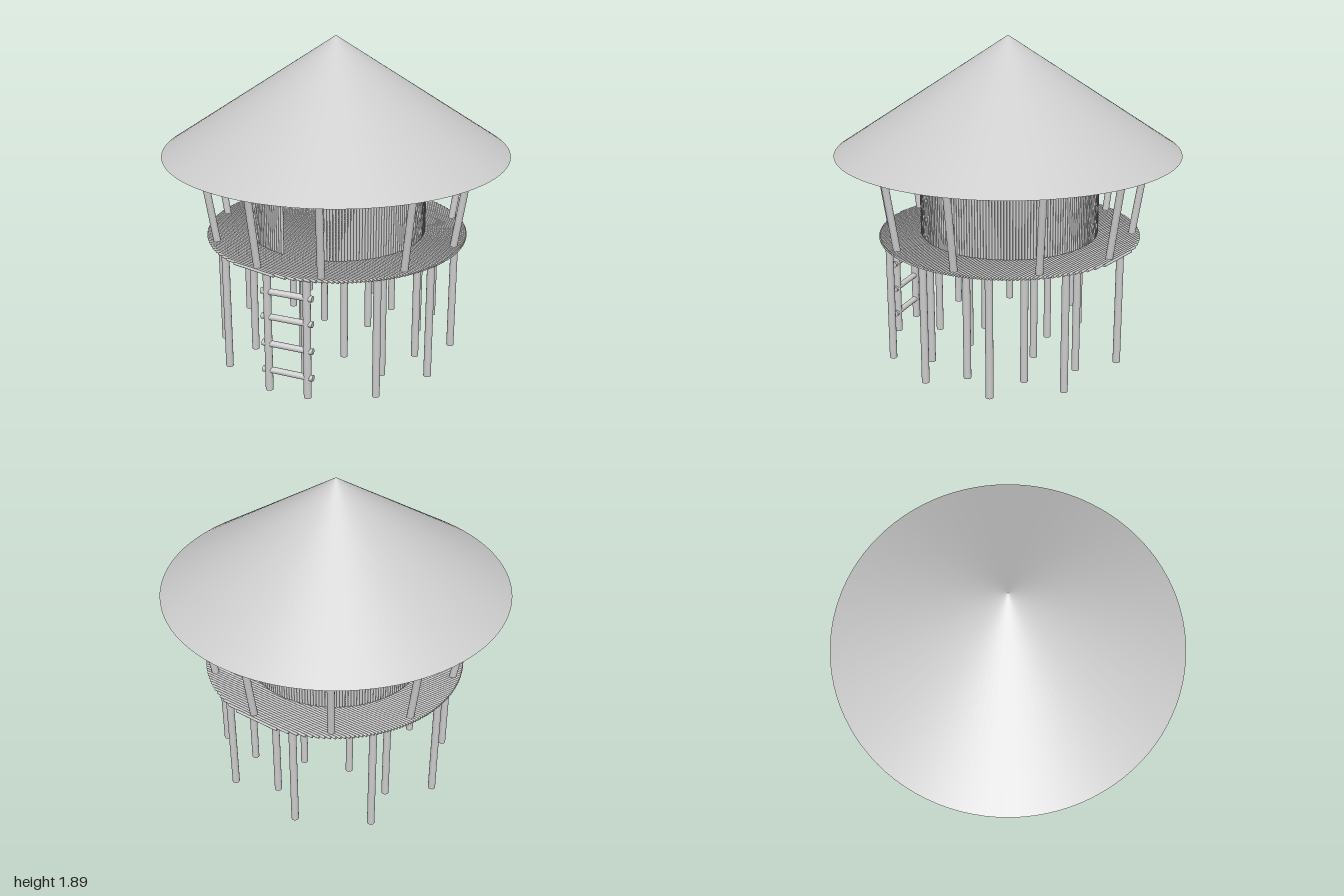
import * as THREE from 'three';
import { mergeGeometries } from 'three/addons/utils/BufferGeometryUtils.js';

const CZ = -0.011; // centre of the hut under the roof
const RAD = Math.PI / 180;
const DOOR = 15.2; // direction of the doorway, degrees from +z towards +x

const material = new THREE.MeshStandardMaterial({ color: 0xcccccc });
const roofMaterial = new THREE.MeshStandardMaterial({ color: 0xcccccc, side: THREE.DoubleSide });

// Round pole between two points
function pole(a, b, radius, sides = 16) {
  const dir = b.clone().sub(a);
  const g = new THREE.CylinderGeometry(radius, radius, dir.length(), sides);
  g.applyQuaternion(new THREE.Quaternion().setFromUnitVectors(
    new THREE.Vector3(0, 1, 0), dir.clone().normalize()));
  const mid = a.clone().add(b).multiplyScalar(0.5);
  return g.translate(mid.x, mid.y, mid.z);
}

// Point at a compass angle and radius around the hut centre
const polar = (deg, r, y) =>
  new THREE.Vector3(r * Math.sin(deg * RAD), y, CZ + r * Math.cos(deg * RAD));

function part(name, geometries) {
  const mesh = new THREE.Mesh(mergeGeometries(geometries), material);
  mesh.name = name;
  return mesh;
}

export function createModel() {
  const group = new THREE.Group();
  group.name = 'stiltHut';

  // Thin conical roof: outer slope, narrow rim and inner slope
  const slopes = [
    [[1, 1.23], [0, 1.89]],
    [[0.982, 1.23], [1, 1.23]],
    [[0, 1.875], [0.982, 1.23]],
  ].map(pts => new THREE.LatheGeometry(pts.map(p => new THREE.Vector2(...p)), 96));
  const roof = new THREE.Mesh(mergeGeometries(slopes), roofMaterial);
  roof.name = 'roof';
  group.add(roof);

  // Floor of thin sticks cut to a disc
  const floorSticks = [];
  const floorR = 0.765, stickR = 0.008, rows = 95;
  for (let i = 0; i < rows; i++) {
    const z = (i - (rows - 1) / 2) * 2 * stickR;
    const half = Math.sqrt(floorR * floorR - z * z);
    floorSticks.push(pole(new THREE.Vector3(-half, 0.728, CZ + z),
      new THREE.Vector3(half, 0.728, CZ + z), stickR, 10));
  }
  group.add(part('floor', floorSticks));

  // Round wall of upright sticks with a doorway
  const wallSticks = [];
  const count = 200, halfDoor = 13.5;
  for (let i = 0; i < count; i++) {
    const deg = DOOR + i * 360 / count;
    const fromDoor = Math.min(deg - DOOR, 360 - (deg - DOOR));
    if (fromDoor < halfDoor) continue;
    wallSticks.push(pole(polar(deg, 0.517, 0.742), polar(deg, 0.517, 1.535), 0.0082, 10));
  }
  group.add(part('wall', wallSticks));

  // Leaning veranda posts, with a narrower bay in front of the doorway
  const posts = [];
  for (let i = 0; i < 10; i++) {
    const deg = 30 + i * 330 / 9;
    posts.push(pole(polar(deg, 0.722, 0.725), polar(deg, 0.813, 1.335), 0.021));
  }
  group.add(part('verandaPosts', posts));

  // Stilts in three loose rings (x, z)
  const stilts = [
    [0.585, 0.413], [0.697, 0.053], [0.615, -0.345], [0.31, -0.63], [-0.176, -0.673],
    [-0.56, -0.447], [-0.705, 0.01], [-0.55, 0.408], [-0.294, 0.65],
    [0.117, 0.455], [0.478, 0.2], [0.513, -0.102], [0.352, -0.385], [0.055, -0.535],
    [-0.495, -0.19], [-0.31, 0.4],
    [0.178, 0.157], [0.07, -0.245], [-0.205, -0.15], [-0.07, 0.238],
  ];
  group.add(part('stilts', stilts.map(([x, z]) =>
    pole(new THREE.Vector3(x, 0, z), new THREE.Vector3(x, 0.725, z), 0.022))));

  // Ladder below the doorway
  const left = new THREE.Vector3(0.29, 0, 0.65), right = new THREE.Vector3(0.064, 0, 0.71);
  const up = new THREE.Vector3(0, 0.725, 0);
  group.add(part('ladderRails', [left, right].map(p => pole(p, p.clone().add(up), 0.022))));
  const rungs = [0.125, 0.29, 0.455, 0.607].map(y => {
    const a = right.clone().lerp(left, -0.15), b = right.clone().lerp(left, 1.15);
    a.y = b.y = y;
    return pole(a, b, 0.018);
  });
  group.add(part('ladderRungs', rungs));

  return group;
}
